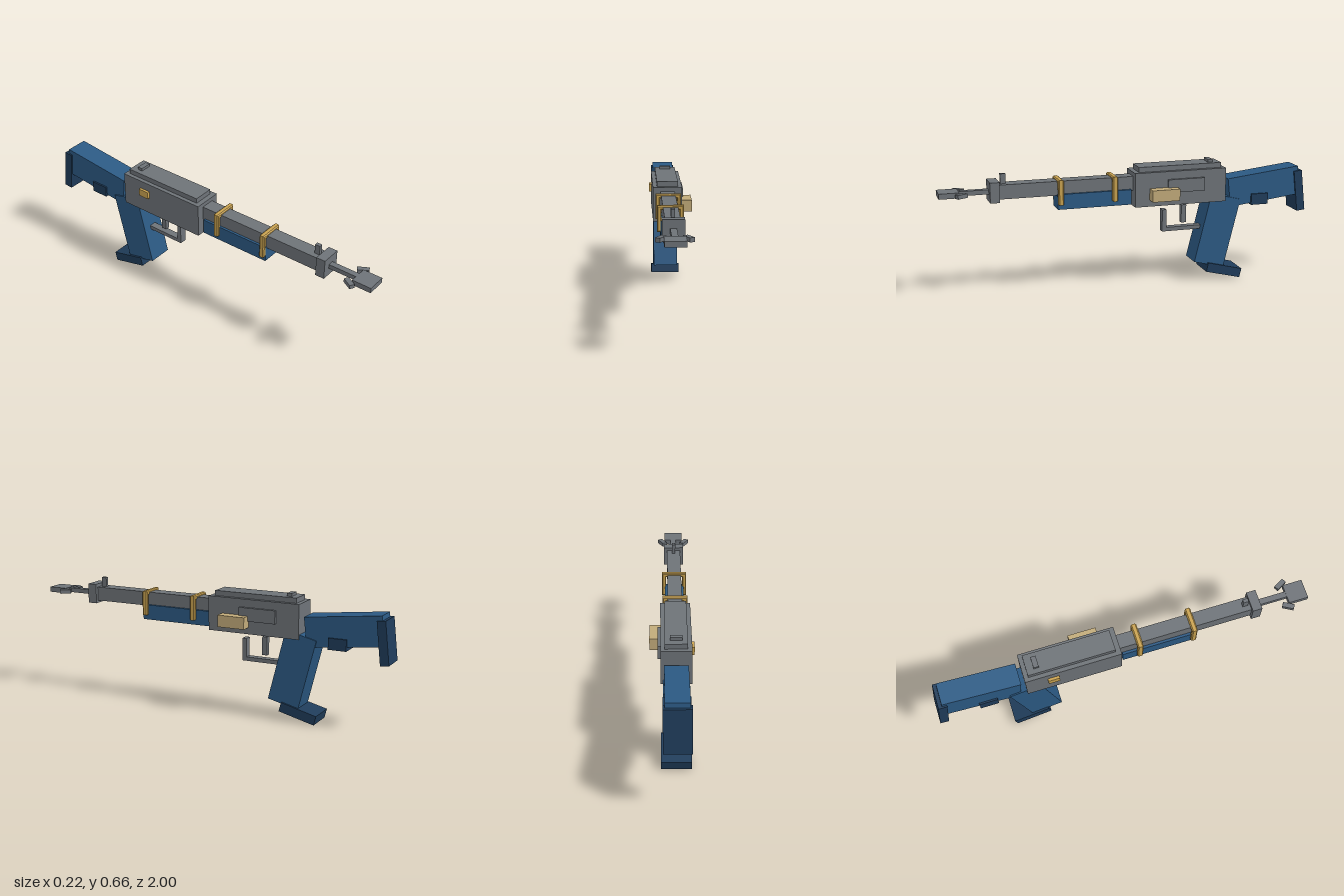
import * as THREE from 'three';

const mat = (name, color) => Object.assign(new THREE.MeshStandardMaterial({ color, flatShading: true }), { name });

export function createModel() {
  const model = new THREE.Group();
  model.name = 'spearRifle';
  const steel = mat('steel grey', 0x6e7378);
  const blue = mat('stock blue', 0x2c5a84);
  const navy = mat('dark blue', 0x1f3c5a);
  const gold = mat('gold', 0xcaa350);
  const tan = mat('pale brass', 0xc2ab7a);
  const CX = -0.022; // centre line of the weapon

  const add = (name, geometry, material) => {
    const mesh = new THREE.Mesh(geometry, material);
    mesh.name = name;
    model.add(mesh);
    return mesh;
  };
  // Box given by its ranges on each axis
  const block = (name, material, [x0, x1], [y0, y1], [z0, z1]) => {
    const mesh = add(name, new THREE.BoxGeometry(x1 - x0, y1 - y0, z1 - z0), material);
    mesh.position.set((x0 + x1) / 2, (y0 + y1) / 2, (z0 + z1) / 2);
    return mesh;
  };
  // Centred box tilted about the x axis
  const tilted = (name, material, w, h, d, y, z, angle) => {
    const mesh = add(name, new THREE.BoxGeometry(w, h, d), material);
    mesh.position.set(CX, y, z);
    mesh.rotation.x = angle;
    return mesh;
  };
  const mid = (w) => [CX - w / 2, CX + w / 2];

  // Receiver
  block('receiver', steel, mid(0.154), [0.438, 0.62], [-0.525, -0.018]);
  block('topCover', steel, mid(0.112), [0.61, 0.647], [-0.503, -0.045]);
  block('rearSight', steel, mid(0.06), [0.64, 0.662], [-0.465, -0.438]);
  block('sidePlate', steel, [0.05, 0.069], [0.508, 0.578], [-0.4, -0.197]);
  block('sideBox', tan, [0.05, 0.111], [0.473, 0.535], [-0.247, -0.097]);
  block('leftButton', gold, [-0.113, -0.095], [0.536, 0.576], [-0.41, -0.35]);

  // Barrel and fore-end
  block('barrel', steel, mid(0.075), [0.523, 0.598], [-0.03, 0.7]);
  block('foreEnd', blue, mid(0.101), [0.45, 0.53], [-0.005, 0.392]);
  block('muzzleCollar', steel, mid(0.108), [0.509, 0.615], [0.692, 0.742]);
  block('frontSight', steel, mid(0.019), [0.59, 0.65], [0.653, 0.681]);

  // Square bands round the barrel
  const square = (Type, s) => new Type([[-s, -s], [s, -s], [s, s], [-s, s]].map(([x, y]) => new THREE.Vector2(x, y)));
  const bandShape = square(THREE.Shape, 0.061);
  bandShape.holes.push(square(THREE.Path, 0.049));
  const bandGeometry = new THREE.ExtrudeGeometry(bandShape, {
    depth: 0.018, bevelEnabled: true, bevelSize: 0.005, bevelThickness: 0.006, bevelSegments: 1,
  }).translate(0, 0, -0.009);
  for (const z of [0.086, 0.376]) {
    add('barrelBand', bandGeometry, gold).position.set(CX, 0.541, z);
  }

  // Spear shaft, head and splayed barbs
  block('spearShaft', steel, mid(0.031), [0.549, 0.573], [0.735, 0.91]);
  block('spearHead', steel, mid(0.102), [0.547, 0.575], [0.896, 1]);
  for (const side of [-1, 1]) {
    const barb = add('barb', new THREE.BoxGeometry(0.026, 0.021, 0.06), steel);
    barb.position.set(CX + side * 0.063, 0.56, 0.888);
    barb.rotation.y = side * 0.52;
  }

  // Trigger and guard
  block('trigger', steel, mid(0.027), [0.32, 0.418], [-0.325, -0.297]);
  block('guardFront', steel, mid(0.04), [0.28, 0.4], [-0.21, -0.187]);
  block('guardBottom', steel, mid(0.04), [0.28, 0.301], [-0.42, -0.187]);

  // Grip
  tilted('grip', blue, 0.132, 0.385, 0.172, 0.273, -0.487, -0.245);
  tilted('gripBase', navy, 0.154, 0.05, 0.2, 0.049, -0.526, -0.245);

  // Shoulder stock
  tilted('stock', blue, 0.118, 0.156, 0.41, 0.5, -0.758, 0.112);
  block('stockLatch', navy, mid(0.136), [0.403, 0.463], [-0.777, -0.68]);
  tilted('buttPlate', navy, 0.135, 0.224, 0.046, 0.464, -0.964, 0.112);

  return model;
}
